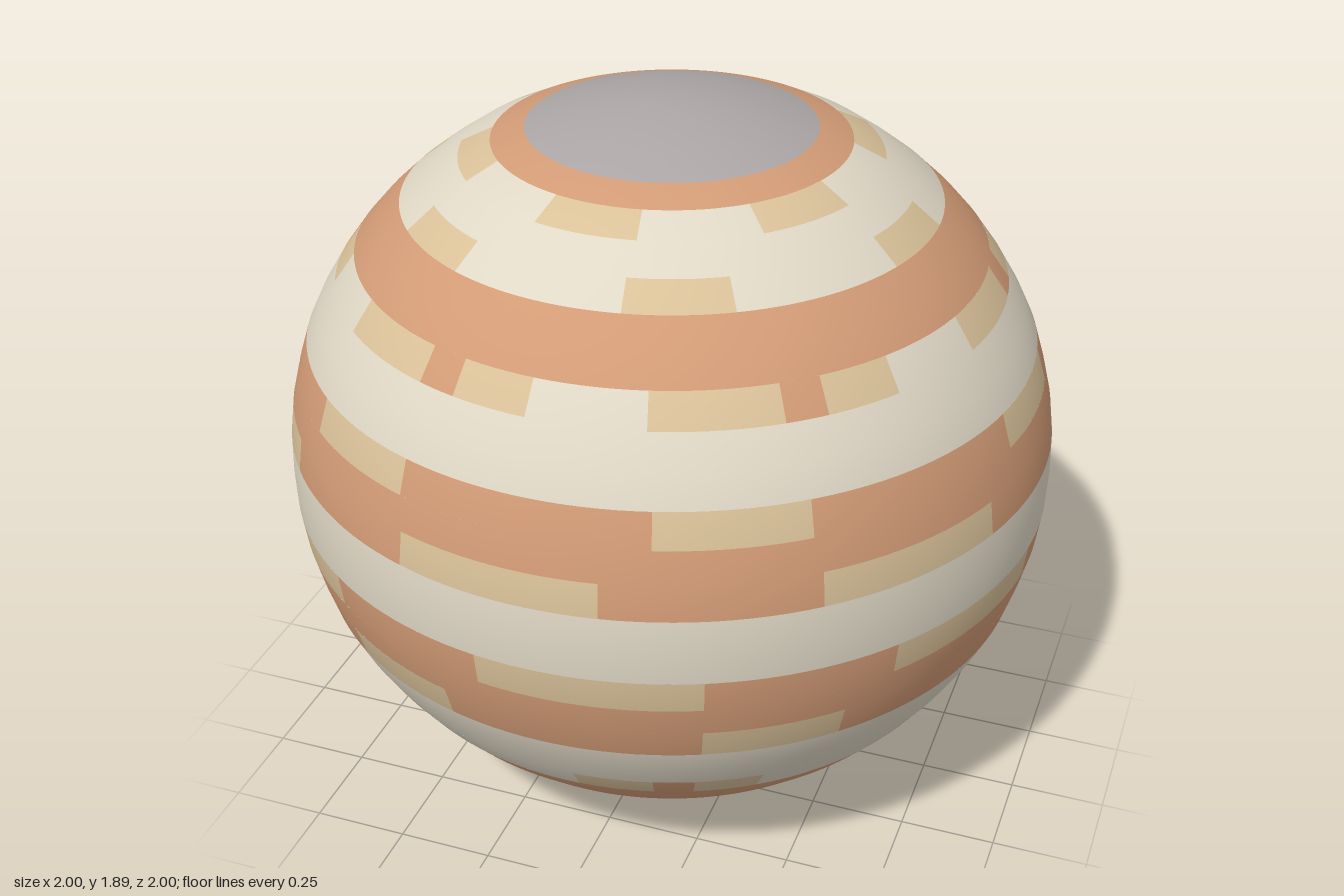
import * as THREE from 'three';
import { mergeGeometries } from 'three/addons/utils/BufferGeometryUtils.js';

// Quarter profile every 5 degrees of latitude, equator to pole: radius and height
const R = [1, 0.997, 0.985, 0.964, 0.937, 0.9, 0.853, 0.8, 0.745, 0.68, 0.61, 0.53, 0.449, 0.364, 0.28, 0.2, 0.125, 0.06, 0];
const H = [0, 0.087, 0.174, 0.257, 0.343, 0.42, 0.498, 0.572, 0.635, 0.697, 0.752, 0.807, 0.847, 0.877, 0.903, 0.922, 0.934, 0.941, 0.943];
const MID = 0.943;

// Radius and height at row i (-18 to 18); rows past a pole mirror back
function profile(i) {
  if (i > 18) return [-R[36 - i], H[36 - i]];
  if (i < -18) return [-R[36 + i], -H[36 + i]];
  return [R[Math.abs(i)], Math.sign(i) * H[Math.abs(i)]];
}

// Smooth surface patch between two latitudes and two longitudes (degrees)
function patch(lat0, lat1, lon0, lon1, lift = 0) {
  const pos = [], nor = [], idx = [];
  const rows = Math.round((lat1 - lat0) / 5);
  const cols = Math.max(1, Math.ceil((lon1 - lon0) / 2.5));
  for (let j = 0; j <= rows; j++) {
    const i = Math.round(lat0 / 5) + j;
    const [r, h] = profile(i);
    const [r0, h0] = profile(i - 1), [r1, h1] = profile(i + 1);
    const len = Math.hypot(r1 - r0, h1 - h0);
    const nr = (h1 - h0) / len, ny = (r0 - r1) / len;
    for (let k = 0; k <= cols; k++) {
      const a = THREE.MathUtils.degToRad(lon0 + (lon1 - lon0) * k / cols);
      const s = Math.sin(a), c = Math.cos(a), rr = r + nr * lift;
      pos.push(rr * s, MID + h + ny * lift, rr * c);
      nor.push(nr * s, ny, nr * c);
    }
  }
  const w = cols + 1;
  for (let j = 0; j < rows; j++) for (let k = 0; k < cols; k++) {
    const a = j * w + k;
    idx.push(a, a + 1, a + w + 1, a, a + w + 1, a + w);
  }
  const g = new THREE.BufferGeometry();
  g.setAttribute('position', new THREE.Float32BufferAttribute(pos, 3));
  g.setAttribute('normal', new THREE.Float32BufferAttribute(nor, 3));
  g.setIndex(idx);
  return g;
}

export function createModel() {
  const group = new THREE.Group();
  const colours = { cream: 0xe0d8c6, orange: 0xd29b76, tan: 0xd9c199, grey: 0xaba6a5, red: 0xdb7860 };
  const mats = {}, parts = {};
  for (const name in colours) {
    mats[name] = new THREE.MeshStandardMaterial({ color: colours[name] });
    mats[name].name = name;
    parts[name] = [];
  }

  // Full ring of one colour
  const ring = (lat0, lat1, colour) => parts[colour].push(patch(lat0, lat1, 0, 360));
  // Ring of patches repeating every 60 degrees; runs are [start longitude, colour]
  const brokenRing = (lat0, lat1, runs) => {
    for (let k = 0; k < 6; k++) runs.forEach(([start, colour], n) => {
      const end = n + 1 < runs.length ? runs[n + 1][0] : runs[0][0] + 60;
      parts[colour].push(patch(lat0, lat1, start + 60 * k, end + 60 * k));
    });
  };

  // Polar caps and the plain bands, mirrored about the equator
  const plain = [[65, 90, 'grey'], [60, 65, 'orange'], [50, 55, 'cream'], [35, 45, 'orange'],
    [20, 30, 'cream'], [10, 15, 'orange'], [0, 5, 'cream']];
  for (const [a, b, colour] of plain) {
    ring(a, b, colour);
    ring(-b, -a, colour);
  }

  // Northern broken bands
  brokenRing(55, 60, [[-17, 'tan'], [11, 'cream']]);
  brokenRing(45, 50, [[10, 'tan'], [32, 'cream']]);
  brokenRing(30, 35, [[16, 'tan'], [37, 'orange'], [44, 'tan'], [57, 'cream']]);
  brokenRing(15, 20, [[17, 'tan'], [39, 'orange']]);
  brokenRing(5, 10, [[10, 'orange'], [40, 'tan']]);

  // Southern broken bands
  brokenRing(-10, -5, [[24, 'orange'], [52, 'tan']]);
  brokenRing(-20, -15, [[24, 'tan'], [45, 'orange']]);
  brokenRing(-35, -30, [[3, 'tan'], [16.5, 'orange'], [23.5, 'tan'], [35, 'cream']]);
  brokenRing(-50, -45, [[27, 'tan'], [47, 'cream']]);
  brokenRing(-60, -55, [[6, 'tan'], [34, 'cream']]);

  // Red storm spot laid just over the surface
  parts.red.push(patch(-25, -15, 143, 170, 0.003), patch(-30, -25, 150, 163, 0.003));

  const names = { cream: 'paleBands', orange: 'darkBands', tan: 'cloudPatches', grey: 'polarCaps', red: 'stormSpot' };
  for (const name in parts) {
    const mesh = new THREE.Mesh(mergeGeometries(parts[name]), mats[name]);
    mesh.name = names[name];
    group.add(mesh);
  }
  group.name = 'bandedPlanet';
  return group;
}
